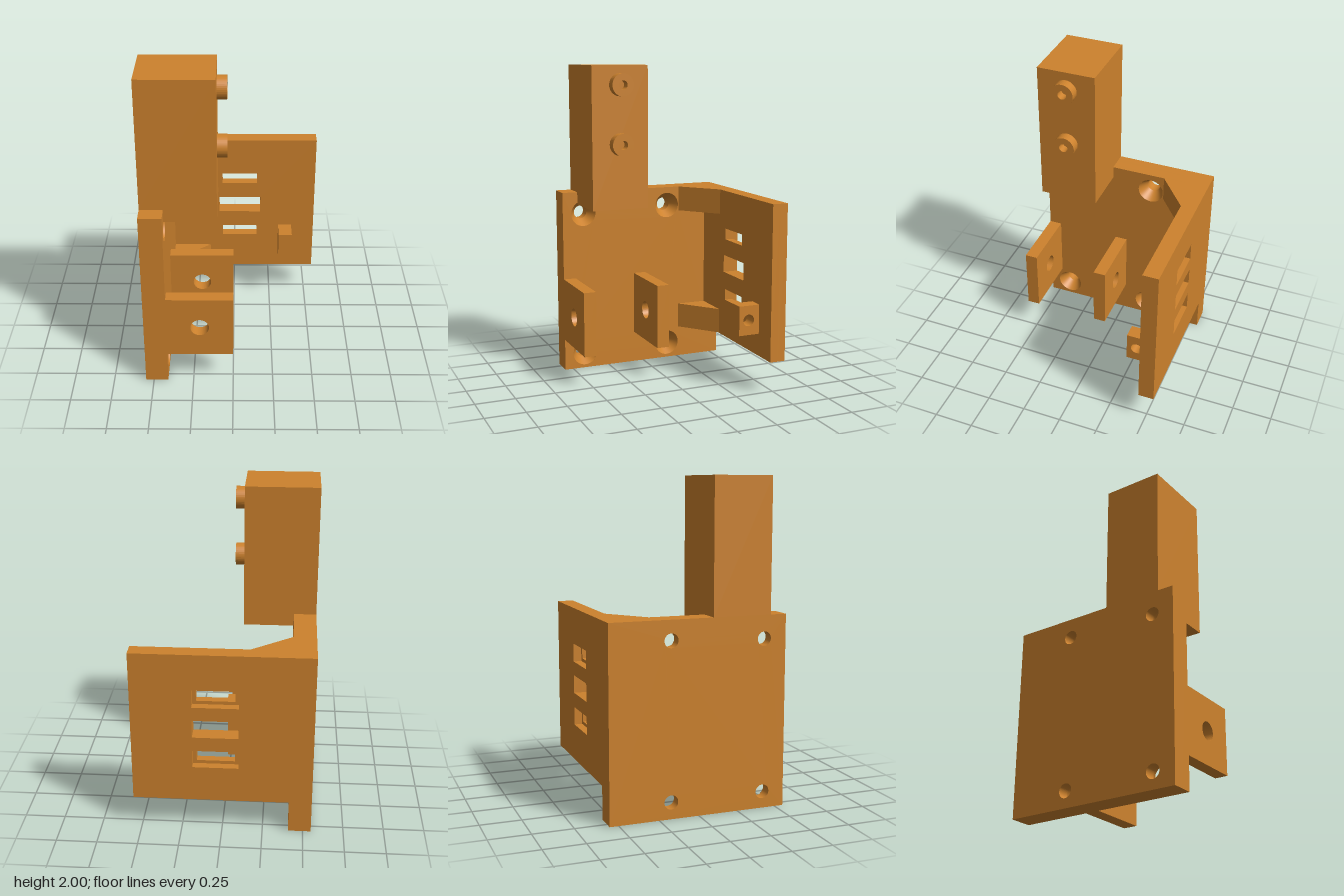
import * as THREE from 'three';

const orange = new THREE.MeshStandardMaterial({ color: 0xcd822d });
orange.name = 'orange plastic';
const orangeOpen = orange.clone();
orangeOpen.side = THREE.DoubleSide;

// Rectangle outline from two corners
function rect(x0, y0, x1, y1, Type = THREE.Shape) {
  return new Type([[x0, y0], [x1, y0], [x1, y1], [x0, y1]].map(p => new THREE.Vector2(...p)));
}

function circle(x, y, r) {
  return new THREE.Path().absarc(x, y, r, 0, Math.PI * 2, true);
}

function extrude(shape, depth, holes = []) {
  shape.holes.push(...holes);
  return new THREE.ExtrudeGeometry(shape, { depth, bevelEnabled: false, curveSegments: 40 });
}

// Shape in (x, y), thickened from z0 to z1
const alongZ = (shape, z0, z1, holes) => extrude(shape, z1 - z0, holes).translate(0, 0, z0);

// Shape in (-z, y), thickened from x0 to x1
const alongX = (shape, x0, x1, holes) =>
  extrude(shape, x1 - x0, holes).rotateY(Math.PI / 2).translate(x0, 0, 0);

export function createModel() {
  const model = new THREE.Group();
  const add = (name, geometry, material = orange) => {
    const mesh = new THREE.Mesh(geometry, material);
    mesh.name = name;
    model.add(mesh);
  };

  // Side plate: narrow bores outside, countersinks on the inner face
  const screws = [[0.415, 1.043], [-0.175, 1.063], [0.415, 0.103], [-0.175, 0.103]];
  const boreR = 0.043, sinkR = 0.083, sinkX = -0.48, innerX = -0.41;
  const sideLayer = (x0, x1, r) => alongX(rect(-0.555, 0, 0.555, 1.185), x0, x1,
    screws.map(([z, y]) => circle(-z, y, r)));
  add('sidePlateOuter', sideLayer(-0.55, sinkX, boreR));
  add('sidePlateInner', sideLayer(sinkX, innerX, sinkR));
  for (const [z, y] of screws) {
    const cone = new THREE.CylinderGeometry(sinkR, boreR, innerX - sinkX, 40, 1, true);
    cone.rotateZ(-Math.PI / 2).translate((innerX + sinkX) / 2, y, z);
    add('countersink', cone, orangeOpen);
  }

  // Back plate: three slots, the outer two stepped wider at the back
  const slots = [0.9, 0.698, 0.492];
  const backLayer = (z0, z1, sizes) => alongZ(rect(innerX, 0.205, 0.547, 1.185), z0, z1,
    slots.map((y, i) => {
      const [w, h] = sizes[i];
      return rect(0.039 - w, y - h, 0.039 + w, y + h, THREE.Path);
    }));
  const wide = [0.14, 0.057], small = [0.117, 0.036];
  add('backPlateRear', backLayer(-0.555, -0.505, [wide, wide, wide]));
  add('backPlateFront', backLayer(-0.505, -0.455, [small, wide, small]));

  // Corner gussets at the top and bottom of the back plate
  for (const top of [1.185, 0.37]) {
    const triangle = new THREE.Shape([
      new THREE.Vector2(innerX, -0.455),
      new THREE.Vector2(-0.163, -0.455),
      new THREE.Vector2(innerX, -0.262),
    ]);
    add('gusset', extrude(triangle, 0.163).rotateX(Math.PI / 2).translate(0, top, 0));
  }

  // Pair of pivot tabs
  for (const z of [-0.015, 0.475]) {
    add('pivotTab', alongZ(rect(innerX, 0.205, 0, 0.615), z, z + 0.08,
      [circle(-0.205, 0.41, 0.057)]));
  }

  // Tall block, notched where it sits on the side plate
  const blockOutline = [[-0.55, 1.185], [innerX, 1.185], [innerX, 1.105],
    [-0.095, 1.105], [-0.095, 2], [-0.55, 2]];
  add('tallBlock', alongZ(new THREE.Shape(blockOutline.map(p => new THREE.Vector2(...p))),
    0.087, 0.455));

  // Hollow studs on the block
  for (const y of [1.88, 1.513]) {
    const profile = [[0.028, 0], [0.07, 0], [0.07, 0.06], [0.028, 0.06], [0.028, 0]];
    const ring = new THREE.LatheGeometry(profile.map(p => new THREE.Vector2(...p)), 40);
    // Keep the rim edges sharp
    const stud = ring.toNonIndexed();
    stud.computeVertexNormals();
    add('stud', stud.rotateZ(-Math.PI / 2).translate(-0.095, y, 0.272));
  }

  // Small drilled post on the back plate
  add('post', alongX(rect(0.318, 0.347, 0.455, 0.535), 0.305, 0.395,
    [circle(0.383, 0.441, 0.037)]));

  return model;
}
